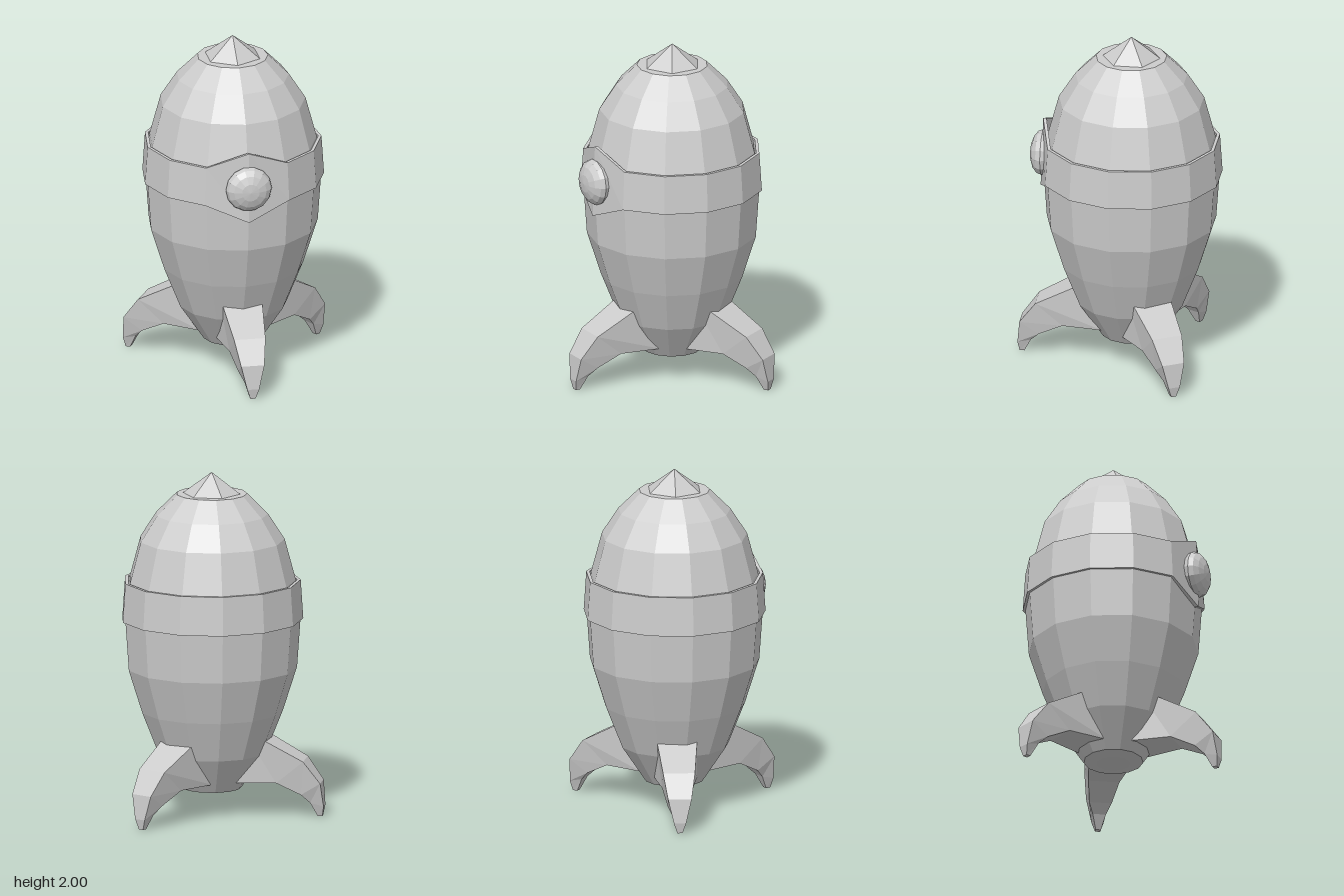
import * as THREE from 'three';

const AXIS_Z = -0.07; // the hull axis sits slightly behind the centre
const SIDES = 13;

// A fin grows along +z: each station holds outer and inner [radius, y, half width]
function finGeometry() {
  const stations = [
    [[0.2, 0.52, 0.128], [0.15, 0.2, 0.125]],
    [[0.547, 0.33, 0.092], [0.39, 0.2, 0.09]],
    [[0.643, 0.2, 0.068], [0.53, 0.13, 0.065]],
    [[0.658, 0.06, 0.035], [0.58, 0.08, 0.038]],
    [[0.648, 0, 0.015], [0.62, 0, 0.015]],
  ];
  const positions = [];
  const index = [];
  stations.forEach(([[ro, yo, wo], [ri, yi, wi]]) => {
    positions.push(wo, yo, ro, -wo, yo, ro, -wi, yi, ri, wi, yi, ri);
  });
  for (let s = 0; s < stations.length - 1; s++) {
    for (let k = 0; k < 4; k++) {
      const a = s * 4 + k;
      const b = s * 4 + ((k + 1) % 4);
      index.push(b, b + 4, a, a, b + 4, a + 4);
    }
  }
  const t = (stations.length - 1) * 4;
  index.push(t, t + 1, t + 2, t, t + 2, t + 3);
  const geometry = new THREE.BufferGeometry();
  geometry.setAttribute('position', new THREE.Float32BufferAttribute(positions, 3));
  geometry.setIndex(index);
  geometry.computeVertexNormals();
  return geometry;
}

function lathe(points) {
  return new THREE.LatheGeometry(points.map(([r, y]) => new THREE.Vector2(r, y)), SIDES);
}

// Hoop around the hull whose front corner flares up and down behind the porthole
function bandGeometry() {
  const geometry = lathe([[0.49, 1.14], [0.528, 1.14], [0.513, 1.367], [0.494, 1.367], [0.49, 1.14]]);
  const p = geometry.attributes.position;
  for (let i = 0; i < p.count; i++) {
    if (Math.abs(p.getX(i)) < 0.01 && p.getZ(i) > 0) {
      p.setY(i, p.getY(i) > 1.25 ? 1.46 : 1.04);
    }
  }
  geometry.computeVertexNormals();
  return geometry;
}

export function createModel() {
  const model = new THREE.Group();
  model.name = 'rocket';
  const grey = new THREE.MeshStandardMaterial({ color: 0xcccccc, flatShading: true });
  grey.name = 'light grey';

  const add = (name, geometry, y = 0, z = AXIS_Z) => {
    const mesh = new THREE.Mesh(geometry, grey);
    mesh.name = name;
    mesh.position.set(0, y, z);
    model.add(mesh);
    return mesh;
  };

  // Egg-shaped hull with a flat top
  add('hull', lathe([
    [0, 0.13], [0.1, 0.133], [0.172, 0.147], [0.315, 0.36], [0.411, 0.6], [0.492, 0.855],
    [0.512, 1.14], [0.485, 1.367], [0.421, 1.606], [0.325, 1.755], [0.205, 1.875], [0, 1.875],
  ]));

  add('noseCone', new THREE.ConeGeometry(0.167, 0.125, 6), 1.9375);
  add('band', bandGeometry());

  // Flattened dome window
  const dome = new THREE.SphereGeometry(0.135, 14, 8);
  dome.rotateX(Math.PI / 2);
  dome.scale(1, 1, 0.54);
  add('porthole', dome, 1.245, 0.445);

  // Three fins, the first facing forward
  const fin = finGeometry();
  ['frontFin', 'leftFin', 'rightFin'].forEach((name, i) => {
    add(name, fin).rotation.y = (i * Math.PI * 2) / 3;
  });

  return model;
}
